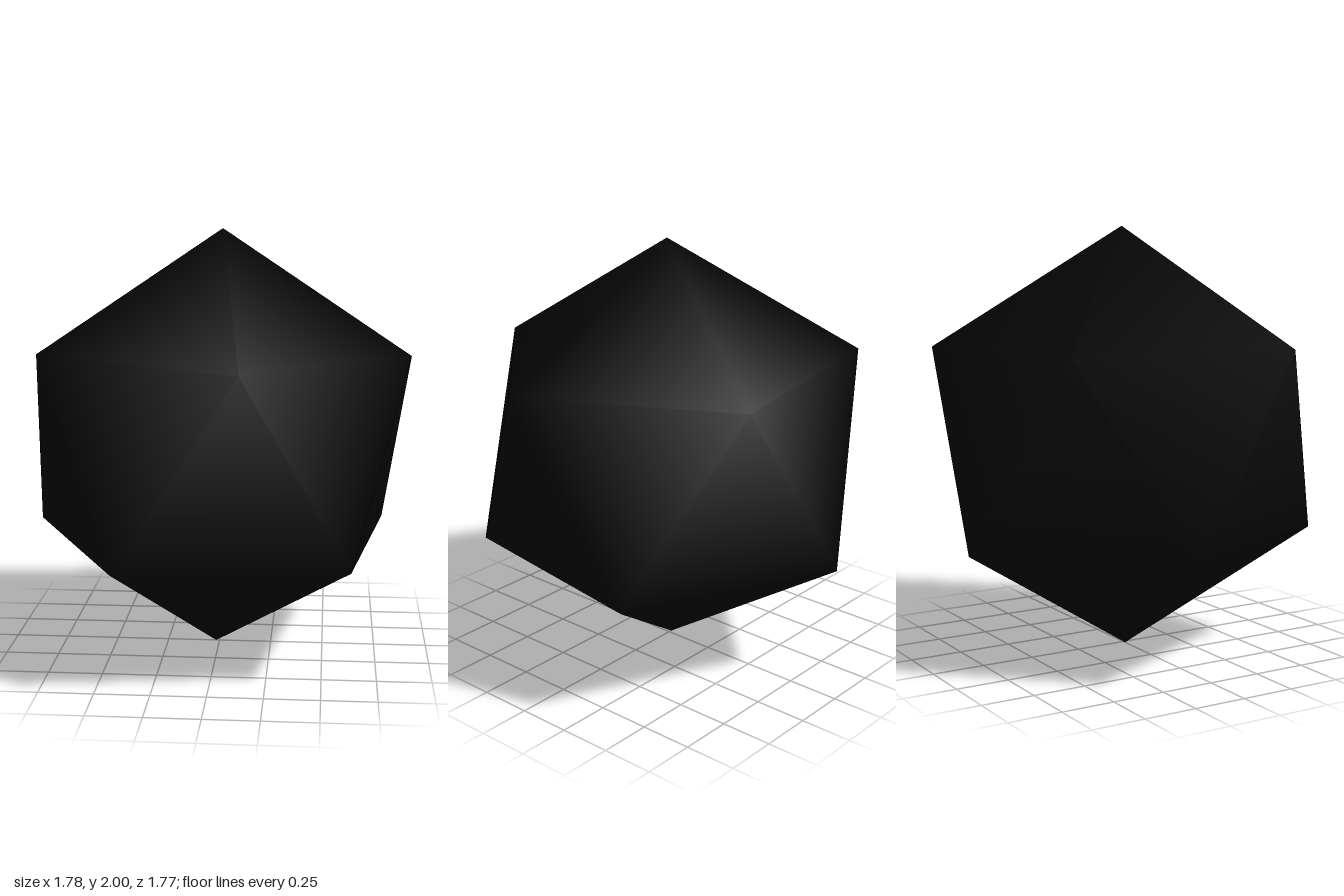
import * as THREE from 'three';

// Twenty-sided solid standing on a point: two poles and two staggered rings of five
function dieGeometry(radius, turn) {
  const ringRadius = radius * 2 / Math.sqrt(5);
  const ringHeight = radius / Math.sqrt(5);
  const positions = [0, radius, 0, 0, -radius, 0];
  const index = [];
  const TOP = 0, BOTTOM = 1;
  const upper = i => 2 + (i % 5) * 2;
  const lower = i => 3 + (i % 5) * 2;

  for (let i = 0; i < 5; i++) {
    const a = turn + i * Math.PI * 2 / 5;
    const b = a + Math.PI / 5;
    positions.push(Math.cos(a) * ringRadius, ringHeight, Math.sin(a) * ringRadius);
    positions.push(Math.cos(b) * ringRadius, -ringHeight, Math.sin(b) * ringRadius);
    index.push(
      TOP, upper(i + 1), upper(i),
      upper(i), upper(i + 1), lower(i),
      lower(i), upper(i + 1), lower(i + 1),
      BOTTOM, lower(i), lower(i + 1),
    );
  }

  const geometry = new THREE.BufferGeometry();
  geometry.setAttribute('position', new THREE.Float32BufferAttribute(positions, 3));
  geometry.setIndex(index);
  geometry.computeVertexNormals(); // shared corners give soft shading over the faces
  return geometry;
}

export function createModel() {
  const group = new THREE.Group();
  group.name = 'twentySidedDie';

  const body = new THREE.Mesh(
    dieGeometry(1, THREE.MathUtils.degToRad(9)),
    new THREE.MeshStandardMaterial({ color: 0x050505 }),
  );
  body.name = 'dieBody';
  body.position.y = 1;
  body.rotation.z = -0.016; // slight lean
  group.add(body);

  return group;
}
